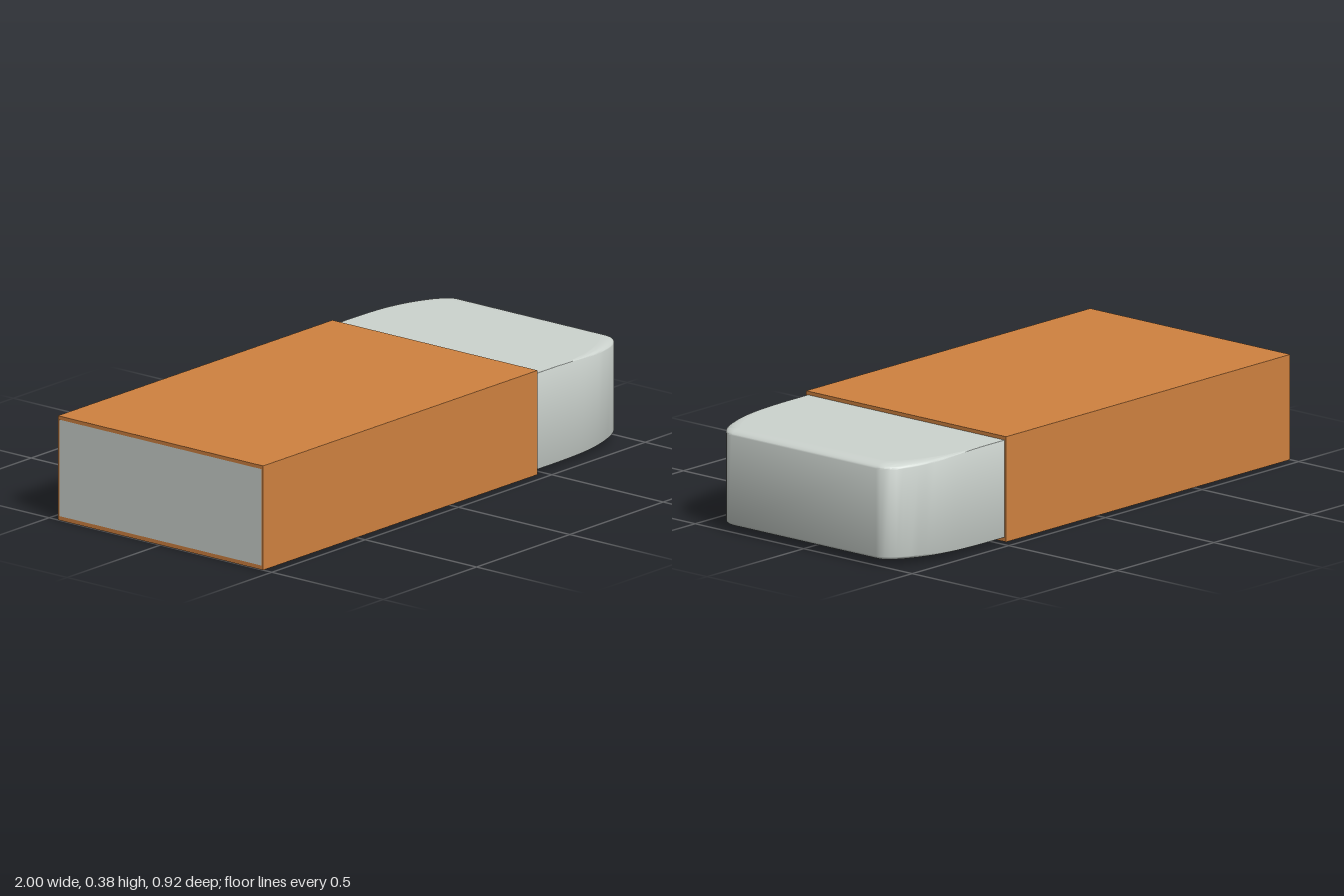
import * as THREE from 'three';
import { toCreasedNormals, mergeGeometries } from 'three/addons/utils/BufferGeometryUtils.js';

const HALF = 0.453, BOTTOM = 0.015, TOP = 0.362;   // rubber block section
const RX = 0.29, RZ = 0.12;                        // elliptical plan corners
const STEPS = 6;                                   // edge rounding steps

// Plan outline: position, outward normal and strength of the edge rounding
function planOutline() {
  const half = [-1, 0.45, 0.58, 0.65].map(x => ({ x, z: HALF, nx: 0, nz: 1 }));
  for (let i = 0; i <= 12; i++) {
    const a = (i / 12) * Math.PI / 2;
    const n = new THREE.Vector2(Math.sin(a) / RX, Math.cos(a) / RZ).normalize();
    half.push({ x: 1 - RX + RX * Math.sin(a), z: HALF - RZ + RZ * Math.cos(a), nx: n.x, nz: n.y });
  }
  for (const p of half) p.s = 0.04 + 0.96 * THREE.MathUtils.smoothstep(p.x, 0.58, 1);
  return [...half, ...half.slice().reverse().map(p => ({ ...p, z: -p.z, nz: -p.nz }))];
}

// Outline pulled inward by the rounding at angle t (0 = wall, PI/2 = flat face)
function ring(outline, t, top) {
  return outline.map(p => {
    const inset = 0.05 * p.s * (1 - Math.cos(t));
    const rise = 0.018 * p.s * (1 - Math.sin(t));
    return [p.x - p.nx * inset, top ? TOP - rise : BOTTOM + rise, p.z - p.nz * inset];
  });
}

function rubberGeometry() {
  const outline = planOutline(), rings = [];
  for (let i = STEPS; i >= 0; i--) rings.push(ring(outline, (i / STEPS) * Math.PI / 2, false));
  for (let i = 0; i <= STEPS; i++) rings.push(ring(outline, (i / STEPS) * Math.PI / 2, true));

  // walls and rounded edges
  const n = outline.length, index = [];
  for (let r = 0; r < rings.length - 1; r++) {
    for (let j = 0; j < n; j++) {
      const a = r * n + j, b = r * n + (j + 1) % n;
      index.push(a, b, b + n, a, b + n, a + n);
    }
  }
  const walls = new THREE.BufferGeometry();
  walls.setAttribute('position', new THREE.Float32BufferAttribute(rings.flat(2), 3));
  walls.setIndex(index);

  // flat top and bottom faces
  const face = new THREE.Shape(rings.at(-1).map(p => new THREE.Vector2(p[0], -p[2])));
  const caps = [1, -1].map(side => {
    const cap = new THREE.ShapeGeometry(face).toNonIndexed();
    cap.deleteAttribute('uv');
    return cap.rotateX(-side * Math.PI / 2).translate(0, side > 0 ? TOP : BOTTOM, 0);
  });
  return mergeGeometries([toCreasedNormals(walls, Math.PI / 6), ...caps]);
}

function rectangle(path, w, y0, y1) {
  return path.moveTo(-w, y0).lineTo(w, y0).lineTo(w, y1).lineTo(-w, y1).closePath();
}

// Open-ended wrapper, extruded along x
function sleeveGeometry() {
  const shape = rectangle(new THREE.Shape(), 0.461, 0, 0.375);
  shape.holes.push(rectangle(new THREE.Path(), HALF, BOTTOM, TOP));
  return new THREE.ExtrudeGeometry(shape, { depth: 1.47, bevelEnabled: false })
    .rotateY(Math.PI / 2).translate(-1, 0, 0);
}

export function createModel() {
  const group = new THREE.Group();
  group.name = 'eraser';
  const add = (name, geometry, color) => {
    const mesh = new THREE.Mesh(geometry, new THREE.MeshStandardMaterial({ color }));
    mesh.name = name;
    group.add(mesh);
  };
  add('rubberBlock', rubberGeometry(), 0xcdd4cf);
  add('cardboardSleeve', sleeveGeometry(), 0xd08240);
  return group;
}
